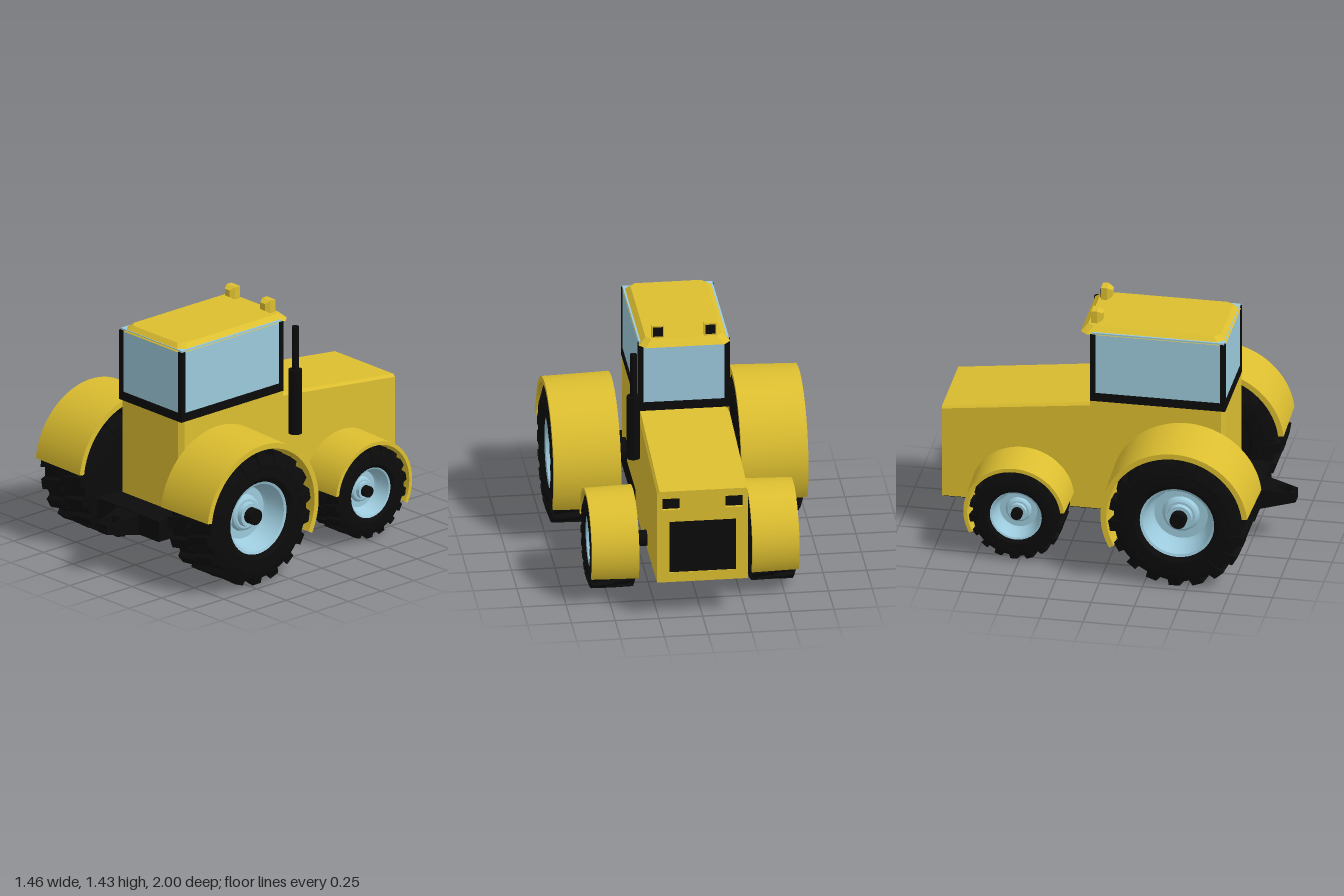
import * as THREE from 'three';
import { toCreasedNormals } from 'three/addons/utils/BufferGeometryUtils.js';

const mat = (color) => new THREE.MeshStandardMaterial({ color });
const yellow = mat(0xdcbe30), black = mat(0x0b0b0b), blue = mat(0x9ccadc);

function add(parent, name, geo, material, x = 0, y = 0, z = 0) {
  const m = new THREE.Mesh(geo, material);
  m.name = name;
  m.position.set(x, y, z);
  parent.add(m);
  return m;
}
const box = (w, h, d) => new THREE.BoxGeometry(w, h, d);
const poly = (pts) => new THREE.Shape(pts.map(([x, y]) => new THREE.Vector2(x, y)));
const extrude = (shape, depth, curveSegments = 12) =>
  new THREE.ExtrudeGeometry(shape, { depth, bevelEnabled: false, curveSegments });

// Move every vertex by a rule, then refresh the normals
function warp(geo, rule) {
  const p = geo.attributes.position, v = new THREE.Vector3();
  for (let i = 0; i < p.count; i++) {
    rule(v.fromBufferAttribute(p, i));
    p.setXYZ(i, v.x, v.y, v.z);
  }
  geo.computeVertexNormals();
  return geo;
}
const rectHole = (shape, x0, y0, x1, y1) =>
  shape.holes.push(new THREE.Path([[x0, y0], [x0, y1], [x1, y1], [x1, y0]].map((q) => new THREE.Vector2(...q))));

// Wheel: local y points outwards; R = radius, w = half width, rim = rim radius
function makeWheel(name, R, w, rim, lugs) {
  const g = new THREE.Group();
  g.name = name;
  const lathe = (pts) => toCreasedNormals(
    new THREE.LatheGeometry(pts.map(([r, y]) => new THREE.Vector2(r, y)), 40), 0.5);
  const r0 = R * 0.925;
  add(g, 'tyre', lathe([[0, -w * 0.8], [rim, -w * 0.8], [rim * 1.12, -w * 0.96], [R * 0.8, -w * 0.97],
    [r0, -w * 0.85], [r0, w * 0.85], [R * 0.8, w * 0.97], [rim * 1.12, w * 0.96], [rim, w * 0.85]]), black);
  add(g, 'rim', lathe([[rim, w * 0.85], [rim * 0.93, w * 0.82], [rim * 0.8, w * 0.3], [rim * 0.72, w * 0.2],
    [rim * 0.5, w * 0.2], [rim * 0.46, w * 0.32], [rim * 0.4, w * 0.36], [rim * 0.34, w * 0.36],
    [rim * 0.32, w * 0.5], [0, w * 0.5]]), blue);
  add(g, 'hubCap', new THREE.CylinderGeometry(rim * 0.22, rim * 0.22, w * 0.5, 20), black, 0, w * 0.5, 0);

  // Tread bars, staggered between the two halves
  const t = R * 0.16;
  const bar = extrude(poly([[R * 0.86, 0], [R, 0], [R, w * 0.86], [R * 0.8, w], [R * 0.74, w], [R * 0.74, w * 0.9]]), t);
  bar.translate(0, 0, -t / 2);
  warp(bar, (v) => { v.z += (v.y / w - 0.5) * t * 0.7; });
  for (let i = 0; i < lugs * 2; i++) {
    const m = add(g, 'treadBar', bar, black);
    m.rotation.order = 'YXZ';
    m.rotation.y = (i * Math.PI) / lugs;
    if (i % 2) m.rotation.x = Math.PI;
  }
  return g;
}

// Curved mudguard, slightly smaller towards its outer edge
function makeFender(R, width, thickness, side) {
  const a0 = 0.12, a1 = 3.63, s = new THREE.Shape();
  s.absarc(0, 0, R, a0, a1, false);
  s.absarc(0, 0, R - thickness, a1, a0, true);
  s.closePath();
  const geo = extrude(s, width, 40);
  geo.translate(0, 0, -width / 2);
  geo.rotateY(-Math.PI / 2);
  warp(geo, (v) => {
    const k = 1 - 0.024 * (side * v.x / width);
    v.y *= k;
    v.z *= k;
  });
  return toCreasedNormals(geo, 0.5);
}

// Engine cover section: chamfered outline whose top rises towards the cab
function hoodSection(z0, z1, cut) {
  const s = poly([[-0.26, 0.225], [0.26, 0.225], [0.26, 0.775], [0.247, 0.79], [-0.247, 0.79], [-0.26, 0.775]]);
  if (cut) cut(s);
  const geo = extrude(s, z1 - z0);
  geo.translate(0, 0, z0);
  return warp(geo, (v) => { v.y = 0.225 + (v.y - 0.225) * (1 + (v.z + 1) * 0.211); });
}

export function createModel() {
  const model = new THREE.Group();
  model.name = 'tractor';

  // Chassis and underside
  add(model, 'chassis', box(0.52, 0.125, 0.8), black, 0, 0.2875, 0.405);
  add(model, 'underPlate', box(0.515, 0.01, 1.0), black, 0, 0.226, -0.49);

  // Towing hitch with pin hole, thinner towards the tip
  const hitchShape = poly([[-0.09, -0.8], [-0.04, -1], [0.04, -1], [0.09, -0.8]]);
  hitchShape.holes.push(new THREE.Path().absarc(0, -0.932, 0.048, 0, Math.PI * 2, true));
  const hitch = extrude(hitchShape, 1, 4);
  hitch.rotateX(-Math.PI / 2);
  warp(hitch, (v) => {
    const k = (v.z - 0.8) / 0.2;
    v.y = 0.2825 + (v.y - 0.5) * (0.125 - 0.07 * k);
  });
  add(model, 'hitch', hitch, black);

  // Engine cover, with grille and headlights set into the nose
  add(model, 'hood', hoodSection(-0.97, 0.0), yellow);
  add(model, 'nose', hoodSection(-1, -0.97, (s) => {
    rectHole(s, -0.19, 0.285, 0.19, 0.6);
    for (const x of [-0.18, 0.18]) rectHole(s, x - 0.05, 0.675, x + 0.05, 0.745);
  }), yellow);
  add(model, 'grille', box(0.38, 0.315, 0.03), black, 0, 0.4425, -0.982);
  for (const x of [-0.18, 0.18]) add(model, 'headlight', box(0.1, 0.075, 0.02), black, x, 0.71, -0.975);

  // Lower cab with chamfered corners
  const c = 0.025;
  const cab = extrude(poly([[-0.26, 0.12 + c], [-0.26 + c, 0.12], [0.26 - c, 0.12], [0.26, 0.12 + c],
    [0.26, -0.635 + c], [0.26 - c, -0.635], [-0.26 + c, -0.635], [-0.26, -0.635 + c]].reverse()), 0.555);
  cab.rotateX(-Math.PI / 2);
  add(model, 'cabBody', cab, yellow, 0, 0.35, 0);

  // Windows and frame
  add(model, 'windows', box(0.515, 0.4, 0.765), blue, 0, 1.135, 0.245);
  add(model, 'frameSill', box(0.526, 0.05, 0.78), black, 0, 0.93, 0.245);
  for (const x of [-0.248, 0.248])
    for (const z of [-0.13, 0.62]) add(model, 'framePillar', box(0.03, 0.42, 0.03), black, x, 1.115, z);

  // Roof: corners cut, edges sloping in to the top
  const roof = extrude(poly([[-0.26, -0.38], [-0.225, -0.42], [0.225, -0.42], [0.26, -0.38],
    [0.26, 0.38], [0.225, 0.42], [-0.225, 0.42], [-0.26, 0.38]]), 0.037);
  roof.rotateX(-Math.PI / 2);
  warp(roof, (v) => {
    if (v.y > 0.01) { v.x *= 0.84; v.z *= 0.91; }
  });
  add(model, 'roof', roof, yellow, 0, 1.323, 0.215);

  // Roof lamps
  for (const x of [-0.15, 0.15]) {
    const lamp = new THREE.Group();
    lamp.name = 'roofLamp';
    lamp.position.set(x, 1.397, -0.135);
    add(lamp, 'lampBody', box(0.072, 0.074, 0.035), yellow);
    const back = warp(box(0.072, 0.074, 0.03).toNonIndexed(), (v) => {
      if (v.z > 0) { v.x *= 0.55; v.y *= 0.55; }
    });
    add(lamp, 'lampBack', back, yellow, 0, 0, 0.032);
    add(lamp, 'lampGlass', box(0.056, 0.056, 0.006), black, 0, 0, -0.017);
    model.add(lamp);
  }

  // Exhaust
  add(model, 'exhaustMuffler', new THREE.CylinderGeometry(0.038, 0.038, 0.385, 20), black, 0.297, 0.837, -0.205);
  add(model, 'exhaustPipe', new THREE.CylinderGeometry(0.02, 0.02, 0.28, 16), black, 0.297, 1.15, -0.205);

  // Axles, wheels and mudguards
  const sets = [
    { name: 'large', R: 0.395, w: 0.195, rim: 0.215, lugs: 18, y: 0.4, z: 0.44, xs: [-0.538, 0.533],
      fR: 0.43, fy: 0.421, fz: 0.428, axle: 0.07 },
    { name: 'small', R: 0.27, w: 0.137, rim: 0.15, lugs: 18, y: 0.285, z: -0.517, xs: [-0.442, 0.474],
      fR: 0.295, fy: 0.3, fz: -0.525, axle: 0.046 },
  ];
  for (const s of sets) {
    const axle = new THREE.CylinderGeometry(s.axle, s.axle, 0.75, 20);
    axle.rotateZ(Math.PI / 2);
    add(model, s.name + 'Axle', axle, black, 0, s.y, s.z);
    for (const x of s.xs) {
      const side = Math.sign(x);
      const wheel = makeWheel(s.name + 'Wheel', s.R, s.w, s.rim, s.lugs);
      wheel.position.set(x, s.y, s.z);
      wheel.rotation.z = (-side * Math.PI) / 2;
      model.add(wheel);
      add(model, s.name + 'Fender', makeFender(s.fR, s.w * 1.97, s.fR * 0.075, side), yellow, x, s.fy, s.fz);
    }
  }
  return model;
}
